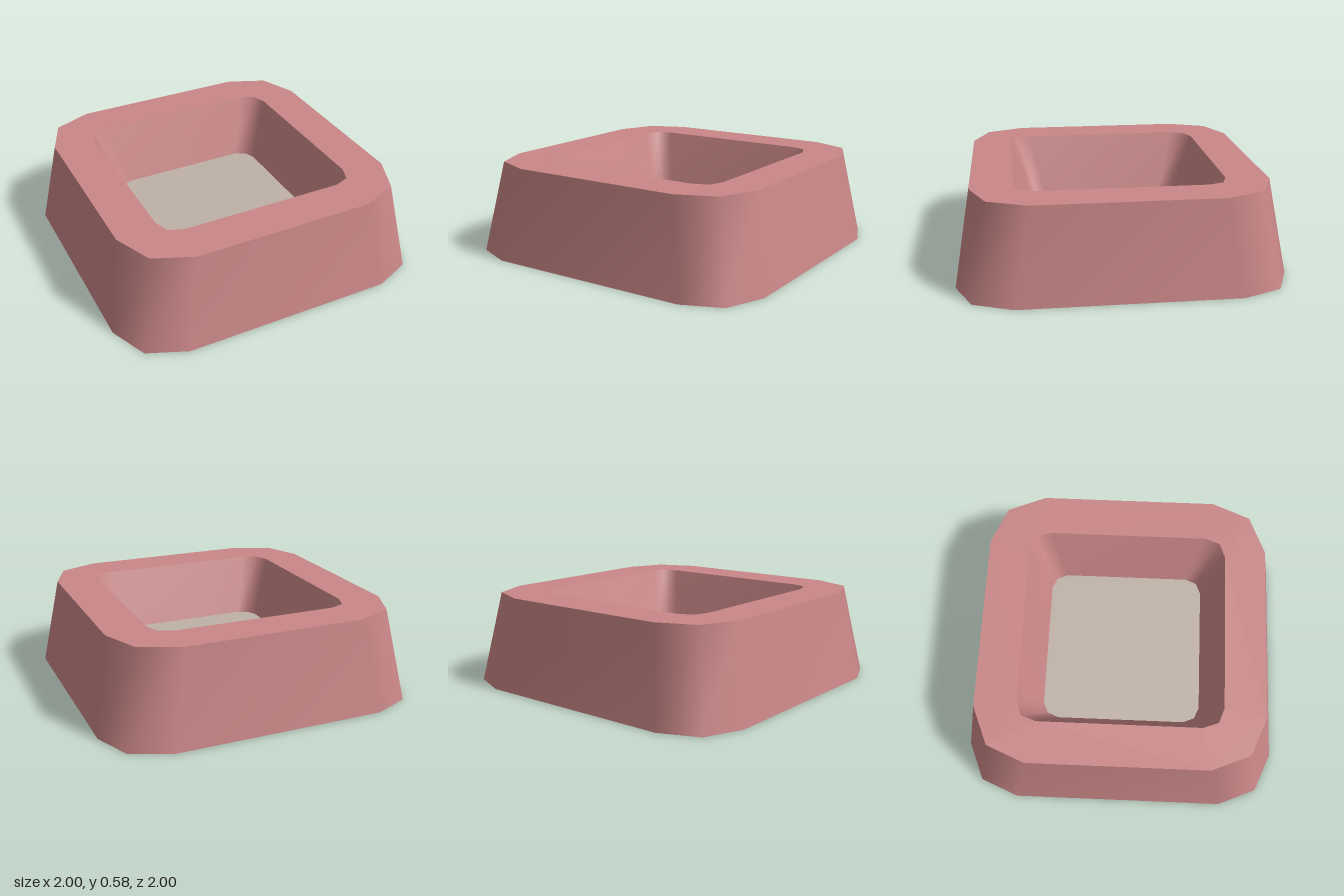
import * as THREE from 'three';

// Outline of a square with two-step chamfered corners: half width, half straight edge, corner point
function outline(half, straight, corner) {
  const points = [];
  for (let i = 0; i < 4; i++) {
    const c = [1, 0, -1, 0][i], s = [0, 1, 0, -1][i];
    for (const [u, v] of [[half, -straight], [half, straight], [corner, corner]]) {
      points.push(new THREE.Vector2(u * c - v * s, u * s + v * c));
    }
  }
  return points;
}

// Smooth sloping band from one outline to another, facing outward when it runs upward
function wall(lower, lowerY, upper, upperY) {
  const n = lower.length, positions = [], index = [];
  lower.forEach((p) => positions.push(p.x, lowerY, -p.y));
  upper.forEach((p) => positions.push(p.x, upperY, -p.y));
  for (let i = 0; i < n; i++) {
    const j = (i + 1) % n;
    index.push(i, j, n + j, i, n + j, n + i);
  }
  const geometry = new THREE.BufferGeometry();
  geometry.setAttribute('position', new THREE.Float32BufferAttribute(positions, 3));
  geometry.setIndex(index);
  geometry.computeVertexNormals();
  return geometry;
}

// Flat horizontal face, with an optional hole
function plate(points, y, { hole, down = false } = {}) {
  const shape = new THREE.Shape(points);
  if (hole) shape.holes.push(new THREE.Path(hole));
  return new THREE.ShapeGeometry(shape).rotateX(down ? Math.PI / 2 : -Math.PI / 2).translate(0, y, 0);
}

export function createModel() {
  const pink = new THREE.MeshStandardMaterial({ name: 'dusty pink', color: 0xc98686 });
  const beige = new THREE.MeshStandardMaterial({ name: 'warm grey', color: 0xbfb1a6 });
  const height = 0.577, floorY = 0.2;

  const base = outline(1, 0.66, 0.9);
  const rimOuter = outline(0.9, 0.56, 0.8);
  const rimInner = outline(0.64, 0.51, 0.605);
  const floor = outline(0.51, 0.41, 0.48);

  const model = new THREE.Group();
  model.name = 'squareBowl';
  const add = (name, geometry, material) => {
    const mesh = new THREE.Mesh(geometry, material);
    mesh.name = name;
    model.add(mesh);
  };

  add('outerWall', wall(base, 0, rimOuter, height), pink);
  add('rim', plate(rimOuter, height, { hole: rimInner }), pink);
  add('innerWall', wall(rimInner, height, floor, floorY), pink);
  add('bowlFloor', plate(floor, floorY), beige);
  add('underside', plate(base, 0, { down: true }), pink);
  return model;
}
